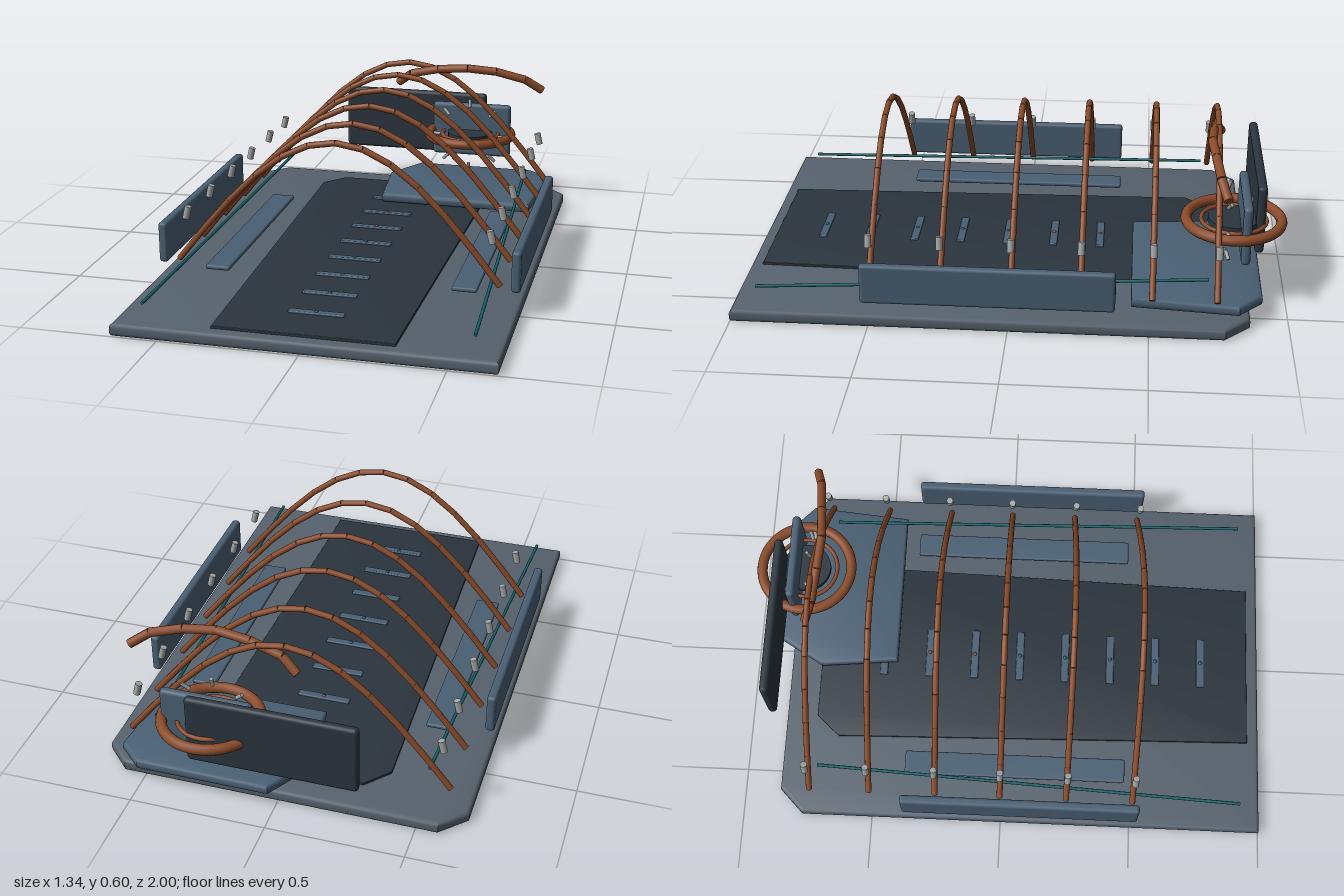
import * as THREE from 'three';
import { RoundedBoxGeometry } from 'three/addons/geometries/RoundedBoxGeometry.js';
import { toCreasedNormals } from 'three/addons/utils/BufferGeometryUtils.js';

const mat = (color) => new THREE.MeshStandardMaterial({ color });
const hull = mat(0x56626e), dark = mat(0x2b353e), blue = mat(0x4a6074);
const copper = mat(0x8a4b2a), teal = mat(0x14646a), metal = mat(0xa3a8a6);
const V = (x, y, z) => new THREE.Vector3(x, y, z);

export function createModel() {
  const model = new THREE.Group();
  const add = (name, geometry, material, x = 0, y = 0, z = 0, parent = model) => {
    const mesh = new THREE.Mesh(geometry, material);
    mesh.name = name;
    mesh.position.set(x, y, z);
    parent.add(mesh);
    return mesh;
  };

  // horizontal plate from an [x, z] outline, between two heights
  const plate = (name, outline, y0, y1, bevel, material) => {
    const shape = new THREE.Shape(outline.map(([x, z]) => new THREE.Vector2(x, -z)));
    const geo = new THREE.ExtrudeGeometry(shape, {
      depth: y1 - y0 - 2 * bevel, bevelEnabled: true, bevelThickness: bevel,
      bevelSize: bevel, bevelOffset: -bevel, bevelSegments: 3,
    });
    geo.rotateX(-Math.PI / 2);
    return add(name, toCreasedNormals(geo, 0.6), material, 0, y0 + bevel, 0);
  };

  // box given by its ranges, with softened edges
  const block = (name, [x0, x1], [y0, y1], [z0, z1], r, material) =>
    add(name, new RoundedBoxGeometry(x1 - x0, y1 - y0, z1 - z0, 3, r), material,
      (x0 + x1) / 2, (y0 + y1) / 2, (z0 + z1) / 2);

  // straight round bar between two points
  const rod = (name, a, b, r, material, parent = model) => {
    const mesh = add(name, new THREE.CylinderGeometry(r, r, a.distanceTo(b), 10), material, 0, 0, 0, parent);
    mesh.position.copy(a).add(b).multiplyScalar(0.5);
    mesh.quaternion.setFromUnitVectors(V(0, 1, 0), b.clone().sub(a).normalize());
    return mesh;
  };

  // chain of straight bars
  const bentRod = (name, points, r, material) => {
    const group = new THREE.Group();
    group.name = name;
    points.slice(1).forEach((p, i) => rod(name + 'Segment', points[i], p, r, material, group));
    model.add(group);
  };

  // base, floor and raised rear deck
  plate('base', [[-0.67, 1], [0.67, 1], [0.67, -0.77], [0.58, -0.86], [-0.58, -0.86], [-0.67, -0.77]],
    0, 0.047, 0.014, hull);
  plate('floorMat', [[-0.32, 0.955], [0.32, 0.955], [0.36, -0.65], [0.28, -0.74], [-0.28, -0.74], [-0.36, -0.65]],
    0.046, 0.057, 0.002, dark);
  plate('rearDeck', [[-0.05, -0.435], [0.565, -0.435], [0.6, -0.82], [0.51, -0.905], [0.02, -0.905], [-0.08, -0.735]],
    0.06, 0.1, 0.014, blue);

  // floor slats with a centre stud
  for (let i = 0; i < 8; i++) {
    const z = -0.49 + i * 0.18;
    block('floorSlat', [-0.1, 0.1], [0.053, 0.064], [z - 0.015, z + 0.015], 0.004, blue);
    add('slatStud', new THREE.SphereGeometry(0.008, 10, 8), i < 3 ? copper : teal, 0, 0.061, z);
  }

  // side panels, pads and cords
  for (const s of [-1, 1]) {
    const span = (a, b) => (s > 0 ? [a, b] : [-b, -a]);
    block('sidePanel', span(0.634, 0.668), [0.095, 0.247], [-0.38, 0.525], 0.012, blue);
    block('sidePad', span(0.415, 0.507), [0.062, 0.079], [-0.38, 0.475], 0.007, blue);
    rod('sideCord', V(s * 0.578, 0.1, 0.92), V(s * 0.51, 0.157, -0.71), 0.006, teal);
  }

  // rib arches with a pair of clips each
  for (const z of [-0.74, -0.51, -0.255, -0.005, 0.25, 0.505]) {
    const points = [];
    for (let i = 0; i <= 12; i++) {
      const x = -0.594 + i * 0.099;
      points.push(V(x, 0.11 + 0.482 * Math.cos((x / 0.594) * Math.PI / 2), z));
    }
    bentRod('ribArch', points, 0.0115, copper);
    for (const s of [-1, 1]) {
      rod('ribClip', V(s * 0.564, 0.268, z), V(s * 0.553, 0.314, z), 0.013, metal);
    }
  }

  // thick headrail over the rear deck
  bentRod('headRail', [V(-0.05, 0.498, -0.758), V(0.01, 0.545, -0.735), V(0.13, 0.574, -0.72),
    V(0.255, 0.586, -0.71), V(0.375, 0.576, -0.72), V(0.495, 0.545, -0.735), V(0.565, 0.498, -0.758)],
    0.017, copper);

  // upright screens
  block('rearScreen', [-0.31, 0.31], [0.162, 0.43], [-0.916, -0.882], 0.015, dark);
  block('frontScreen', [0.088, 0.424], [0.17, 0.4], [-0.86, -0.826], 0.015, blue);

  // control ring with inner ring and hub
  const ring = (name, R, r) => add(name, new THREE.TorusGeometry(R, r, 12, 48).rotateX(Math.PI / 2),
    copper, 0.255, 0.275, -0.803);
  ring('controlRing', 0.175, 0.02);
  ring('innerRing', 0.12, 0.008);
  add('ringHub', new THREE.CylinderGeometry(0.095, 0.095, 0.02, 32), dark, 0.255, 0.275, -0.803);

  // radial pins in front of the screen
  for (let i = 0; i < 8; i++) {
    const a = i * Math.PI / 4, c = Math.cos(a), n = Math.sin(a);
    rod('radialPin', V(0.255 + 0.123 * c, 0.275 + 0.123 * n, -0.775),
      V(0.255 + 0.157 * c, 0.275 + 0.157 * n, -0.785), 0.007, metal);
  }
  return model;
}
